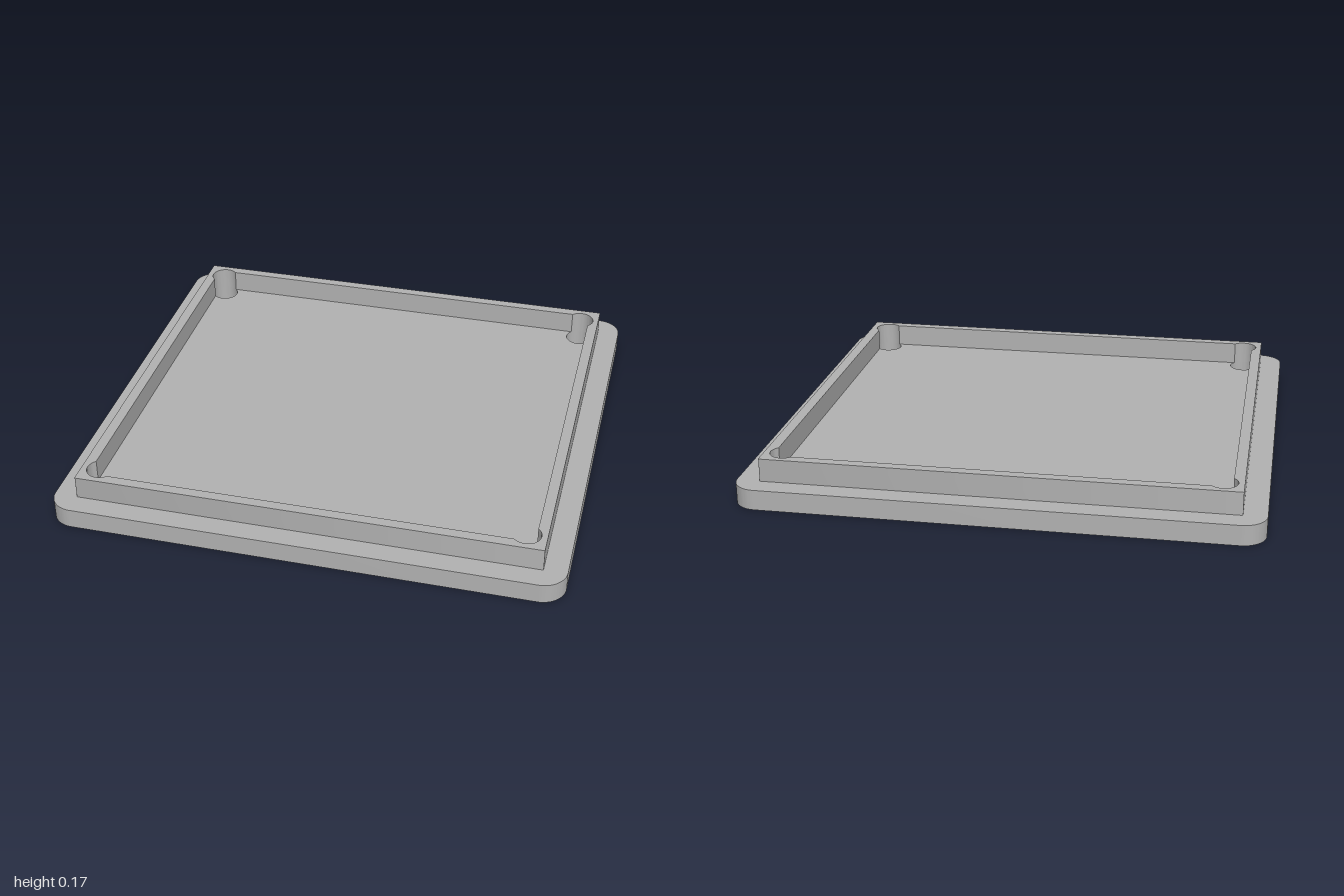
import * as THREE from 'three';
import { toCreasedNormals } from 'three/addons/utils/BufferGeometryUtils.js';

const HOLE = { x: 0.832, z: 0.779, r: 0.055 };
const CORNERS = [[1, 1], [-1, 1], [-1, -1], [1, -1]];

// Rectangle outline with rounded corners, given half sizes
function roundedRect(w, d, r) {
  const s = new THREE.Shape();
  s.absarc(w - r, d - r, r, 0, Math.PI / 2);
  s.absarc(r - w, d - r, r, Math.PI / 2, Math.PI);
  s.absarc(r - w, r - d, r, Math.PI, Math.PI * 1.5);
  s.absarc(w - r, r - d, r, Math.PI * 1.5, Math.PI * 2);
  s.closePath();
  return s;
}

// Inner rim outline whose corners are notched by the screw holes
function notchedRect(w, d) {
  const { x, z, r } = HOLE;
  const dx = w - x, dz = d - z;
  const start = Math.atan2(-Math.sqrt(r * r - dx * dx), dx);
  const end = Math.atan2(dz, -Math.sqrt(r * r - dz * dz));
  const points = [];
  for (const [sx, sz] of CORNERS) {
    const arc = [];
    for (let i = 0; i <= 24; i++) {
      const a = start + (end - start) * i / 24;
      arc.push(new THREE.Vector2(sx * (x + r * Math.cos(a)), sz * (z + r * Math.sin(a))));
    }
    points.push(...(sx * sz < 0 ? arc.reverse() : arc));
  }
  return new THREE.Path(points);
}

// Extrude a plan outline upward from height y
function slab(name, shape, y, height, material) {
  const extruded = new THREE.ExtrudeGeometry(shape, { depth: height, bevelEnabled: false, curveSegments: 24 });
  extruded.rotateX(-Math.PI / 2);
  extruded.translate(0, y, 0);
  const mesh = new THREE.Mesh(toCreasedNormals(extruded, Math.PI / 6), material);
  mesh.name = name;
  return mesh;
}

export function createModel() {
  const group = new THREE.Group();
  group.name = 'boxLid';
  const grey = new THREE.MeshStandardMaterial({ color: 0xb2b2b2 });
  grey.name = 'grey';

  // Base plate with four through holes
  const plate = roundedRect(1, 0.945, 0.095);
  for (const [sx, sz] of CORNERS) {
    plate.holes.push(new THREE.Path().absarc(sx * HOLE.x, sz * HOLE.z, HOLE.r, 0, Math.PI * 2, true));
  }
  group.add(slab('basePlate', plate, 0, 0.08, grey));

  // Raised locating rim
  const rim = roundedRect(0.91, 0.858, 0.005);
  rim.holes.push(notchedRect(0.868, 0.817));
  group.add(slab('rim', rim, 0.08, 0.091, grey));

  return group;
}
